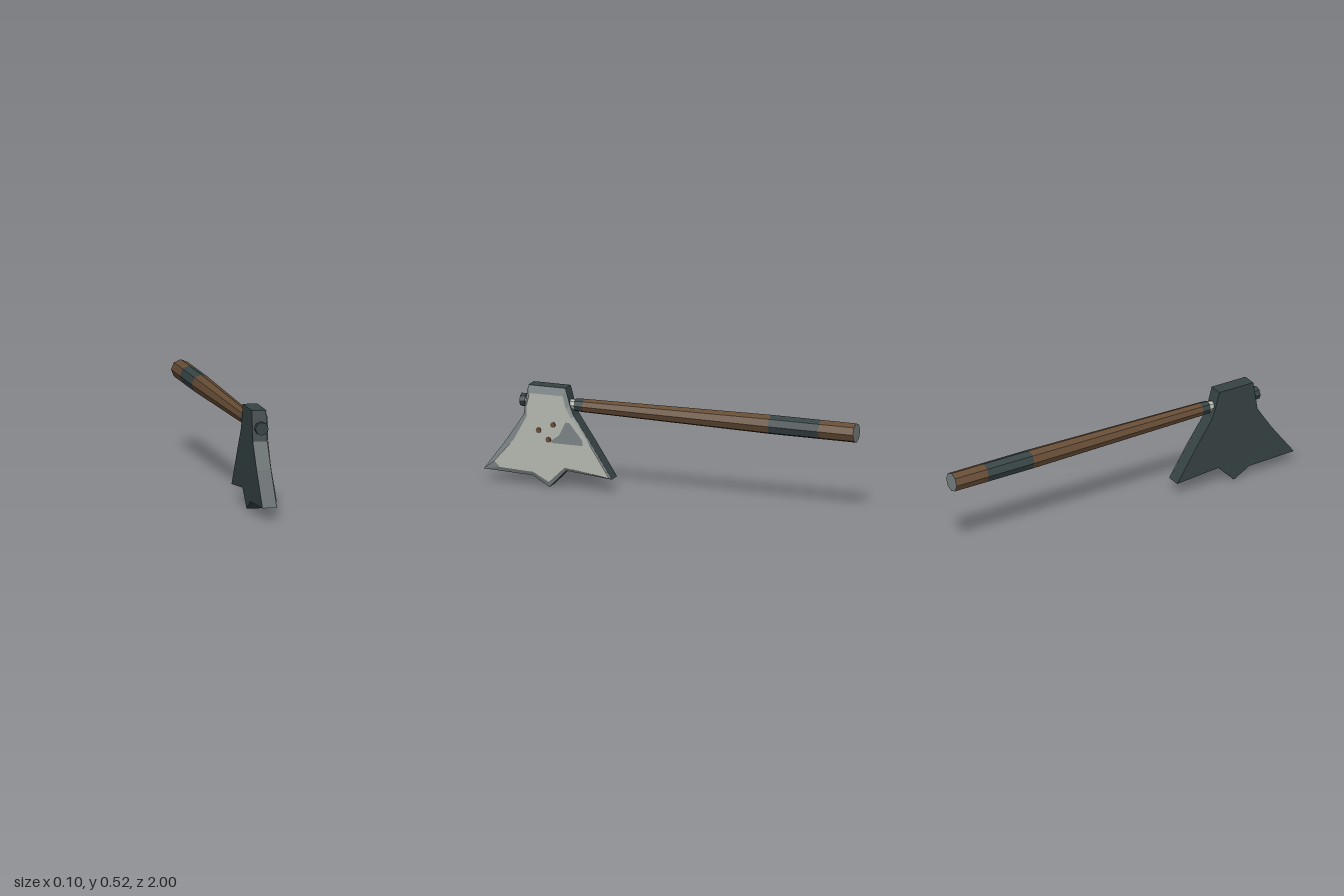
import * as THREE from 'three';

const mat = (name, color) => {
  const m = new THREE.MeshStandardMaterial({ color, flatShading: true });
  m.name = name;
  return m;
};

export function createModel() {
  const dark = mat('darkIron', 0x374344);
  const wood = mat('wood', 0x654c35);
  const steel = mat('paleSteel', 0xb4b8b0);
  const grey = mat('midGrey', 0x7c8486);
  const axe = new THREE.Group();
  axe.name = 'axe';

  const add = (parent, name, geometry, material) => {
    const m = new THREE.Mesh(geometry, material);
    m.name = name;
    parent.add(m);
    return m;
  };

  // Blade silhouette, each entry: outer z, y and bevelled face z, y
  const rim = [
    [0.76, 0.52, 0.75, 0.48], [0.56, 0.52, 0.57, 0.48], [0.535, 0.43, 0.555, 0.42],
    [0.515, 0.38, 0.525, 0.37], [0.42, 0.24, 0.425, 0.24], [0.31, 0.07, 0.32, 0.077],
    [0.555, 0.093, 0.56, 0.11], [0.645, 0.0, 0.645, 0.028], [0.735, 0.052, 0.73, 0.072],
    [1.0, 0.062, 0.91, 0.08], [1.0, 0.062, 0.94, 0.11], [0.87, 0.235, 0.835, 0.23],
    [0.785, 0.365, 0.765, 0.36], [0.775, 0.43, 0.765, 0.42],
  ];
  const shapeOf = (pts) => new THREE.Shape(pts.map(([z, y]) => new THREE.Vector2(-z, y)));

  // Drawn facing +z, then turned so the pale face looks to +x
  const head = new THREE.Group();
  head.name = 'axeHead';
  head.rotation.y = Math.PI / 2;
  axe.add(head);

  const outer = rim.filter((_, i) => i !== 10);
  const body = new THREE.ExtrudeGeometry(shapeOf(outer), { depth: 0.074, bevelEnabled: false });
  add(head, 'headBody', body.translate(0, 0, -0.042), dark);

  const bevel = [];
  rim.forEach((a, i) => {
    const b = rim[(i + 1) % rim.length];
    const o0 = [-a[0], a[1], 0.0325], o1 = [-b[0], b[1], 0.0325];
    const i0 = [-a[2], a[3], 0.042], i1 = [-b[2], b[3], 0.042];
    bevel.push(...o0, ...i0, ...i1);
    if (i !== 9) bevel.push(...o0, ...i1, ...o1);
  });
  const bevelGeo = new THREE.BufferGeometry();
  bevelGeo.setAttribute('position', new THREE.Float32BufferAttribute(bevel, 3));
  bevelGeo.computeVertexNormals();
  add(head, 'headBevel', bevelGeo, grey);

  const face = new THREE.ShapeGeometry(shapeOf(rim.map((p) => [p[2], p[3]])));
  add(head, 'headFace', face.translate(0, 0, 0.042), steel);

  // Worn patch and rivets on the face
  const patch = shapeOf([[0.555, 0.345], [0.535, 0.345], [0.465, 0.26], [0.462, 0.232],
    [0.63, 0.232], [0.632, 0.245], [0.59, 0.275]]);
  add(head, 'facePatch', new THREE.ShapeGeometry(patch).translate(0, 0, 0.0428), grey);
  for (const [z, y] of [[0.7, 0.292], [0.622, 0.327], [0.647, 0.247]]) {
    const rivet = new THREE.CylinderGeometry(0.014, 0.014, 0.012, 8).rotateX(Math.PI / 2);
    add(head, 'rivet', rivet, wood).position.set(-z, y, 0.042);
  }

  // Eight-sided shaft sections along z, from back to front
  const shaft = (name, z0, z1, r0, r1, material) => {
    const g = new THREE.CylinderGeometry(r1, r0, z1 - z0, 8).rotateX(Math.PI / 2);
    add(axe, name, g, material).position.set(0, 0.432, (z0 + z1) / 2);
  };
  shaft('handleEnd', -1, -0.81, 0.05, 0.05, [wood, wood, grey]);
  shaft('gripBand', -0.81, -0.54, 0.05, 0.05, dark);
  shaft('handle', -0.54, 0.47, 0.05, 0.035, wood);
  shaft('collar', 0.47, 0.515, 0.035, 0.033, dark);
  shaft('shaftCore', 0.5, 0.785, 0.027, 0.027, steel);
  shaft('endKnob', 0.78, 0.808, 0.034, 0.034, dark);
  return axe;
}
